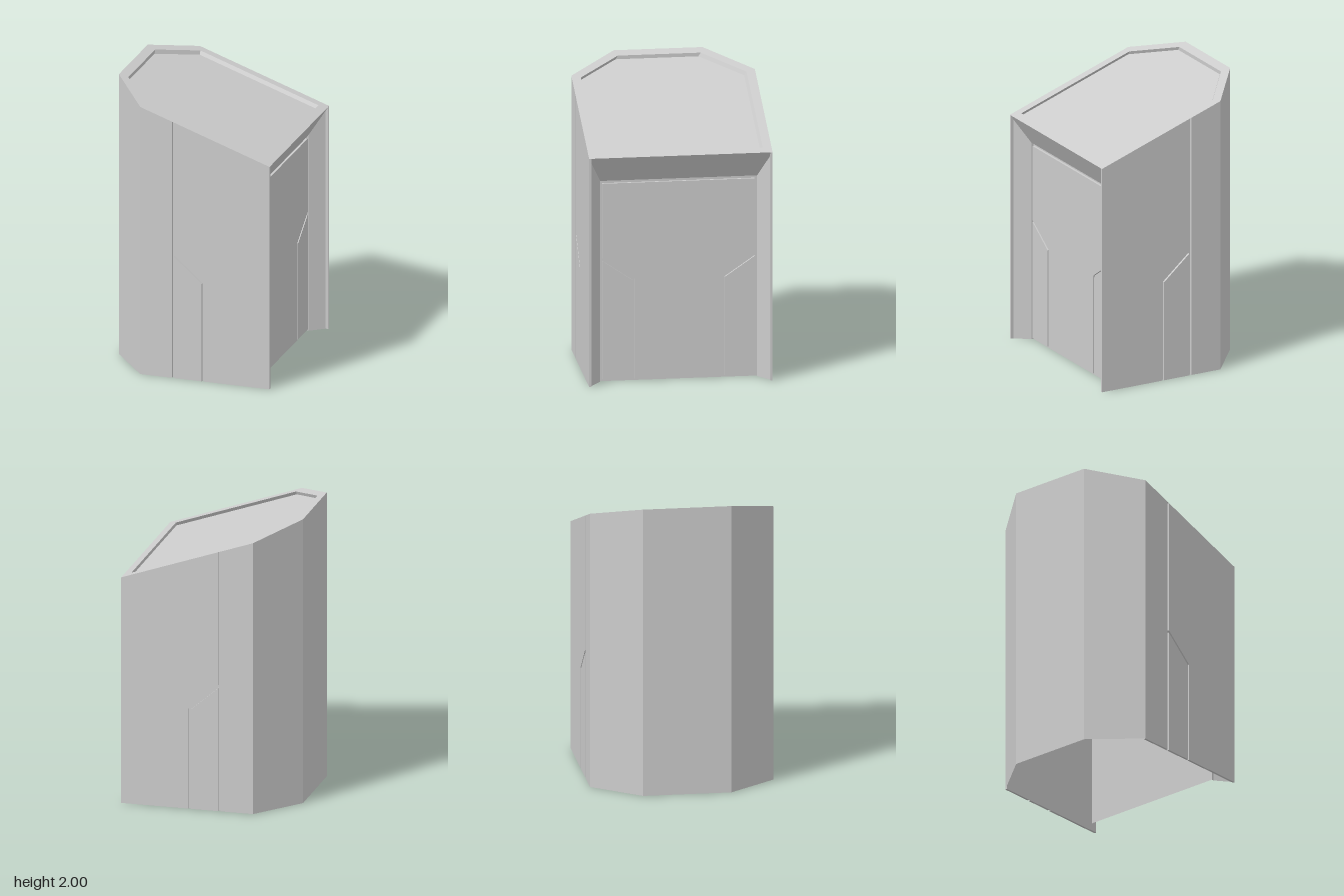
import * as THREE from 'three';

const material = new THREE.MeshStandardMaterial({ color: 0xcccccc, flatShading: true, side: THREE.DoubleSide });
const HALF = 0.62, RIGHT = 0.585, LEFT = -0.59, CORNER = -0.33;
const PANEL_X = 0.47, PANEL_Z = 0.53, PANEL_TOP = 1.4;
const GROOVE = 0.015;
const topY = x => 2 - 0.349 * (x - LEFT);

// Convex flat faces, each a loop of 3D corners
function faces(name, loops) {
  const pos = [];
  for (const p of loops)
    for (let i = 1; i < p.length - 1; i++) pos.push(...p[0], ...p[i], ...p[i + 1]);
  const g = new THREE.BufferGeometry();
  g.setAttribute('position', new THREE.Float32BufferAttribute(pos, 3));
  g.computeVertexNormals();
  const m = new THREE.Mesh(g, material);
  m.name = name;
  return m;
}

// Quads joining two matching loops
function bridge(name, a, b, closed = true) {
  const loops = [];
  for (let i = 0; i < a.length - (closed ? 0 : 1); i++) {
    const j = (i + 1) % a.length;
    loops.push([a[i], a[j], b[j], b[i]]);
  }
  return faces(name, loops);
}

// Thin plate; the gaps between plates form the grooves
function plate(name, pts) {
  const shape = new THREE.Shape(pts.map(p => new THREE.Vector2(...p)));
  const g = new THREE.ExtrudeGeometry(shape, { depth: GROOVE, bevelEnabled: false });
  const m = new THREE.Mesh(g, material);
  m.name = name;
  return m;
}

function sideWall(s) {
  const wall = new THREE.Group();
  wall.name = s > 0 ? 'frontWall' : 'backWall';
  const plates = [
    plate('rearPlate', [[CORNER, 0], [-0.105, 0], [-0.105, topY(-0.105)], [CORNER, topY(CORNER)]]),
    plate('mainPlate', [[0.118, 0], [RIGHT, 0], [RIGHT, topY(RIGHT)], [-0.09, topY(-0.09)],
      [-0.09, 0.885], [0.118, 0.705]]),
    plate('lowerPlate', [[-0.09, 0], [0.105, 0], [0.105, 0.697], [-0.09, 0.867]]),
  ];
  for (const p of plates) p.position.z = s > 0 ? HALF - GROOVE : -HALF;
  const z = s * (HALF - GROOVE);
  // Groove floor, stopping where the recess bevel begins
  const floor = faces('grooveFloor', [[[CORNER, 0, z], [0.5, 0, z], [0.5, topY(0.5), z], [CORNER, topY(CORNER), z]]]);
  wall.add(...plates, floor);
  return wall;
}

function recessPanel() {
  const panel = new THREE.Group();
  panel.name = 'recessPanel';
  const w = 0.515, t = 1.38, b = 0.015;
  panel.add(plate('centrePlate', [[-0.3, b], [0.3, b], [0.3, 0.71], [w, 0.855], [w, t],
    [-w, t], [-w, 0.855], [-0.3, 0.71]]));
  for (const s of [-1, 1])
    panel.add(plate('cornerPlate', [[s * 0.312, b], [s * w, b], [s * w, 0.84], [s * 0.312, 0.7]]));
  panel.rotation.y = Math.PI / 2;
  panel.position.x = PANEL_X - GROOVE;
  return panel;
}

export function createModel() {
  const model = new THREE.Group();
  model.name = 'cabinet';

  // Chamfered end walls
  const plan = [[CORNER, HALF], [LEFT, 0.3], [LEFT, -0.3], [CORNER, -HALF]];
  model.add(bridge('endWalls', plan.map(([x, z]) => [x, 0, z]),
    plan.map(([x, z]) => [x, topY(x), z]), false));

  for (const s of [1, -1]) model.add(sideWall(s));

  // Sloping top: rim, slightly skewed inner wall and sunken floor
  const outer = [[RIGHT, HALF], ...plan, [RIGHT, -HALF]].map(([x, z]) => [x, topY(x), z]);
  const inner = [[0.53, 0.56], [-0.305, 0.56], [-0.53, 0.28], [-0.53, -0.28], [-0.305, -0.56], [0.53, -0.56]]
    .map(([x, z]) => [x, topY(x), z]);
  const sunk = inner.map(([x, y, z]) => [x, y - 0.025, z + 0.015]);
  model.add(bridge('topRim', outer, inner), bridge('topRecessWall', inner, sunk), faces('topFloor', [sunk]));

  // Bevelled surround of the side recess, open at the bottom
  const arch = (x, z, y) => [[x, 0, z], [x, y, z], [x, y, -z], [x, 0, -z]];
  const mouth = arch(RIGHT, HALF, topY(RIGHT));
  const throat = arch(PANEL_X, PANEL_Z, PANEL_TOP);
  const back = arch(PANEL_X - GROOVE, PANEL_Z, PANEL_TOP);
  model.add(bridge('recessBevel', mouth, throat, false), bridge('recessEdge', throat, back, false),
    faces('recessBacking', [back]), recessPanel());
  return model;
}
